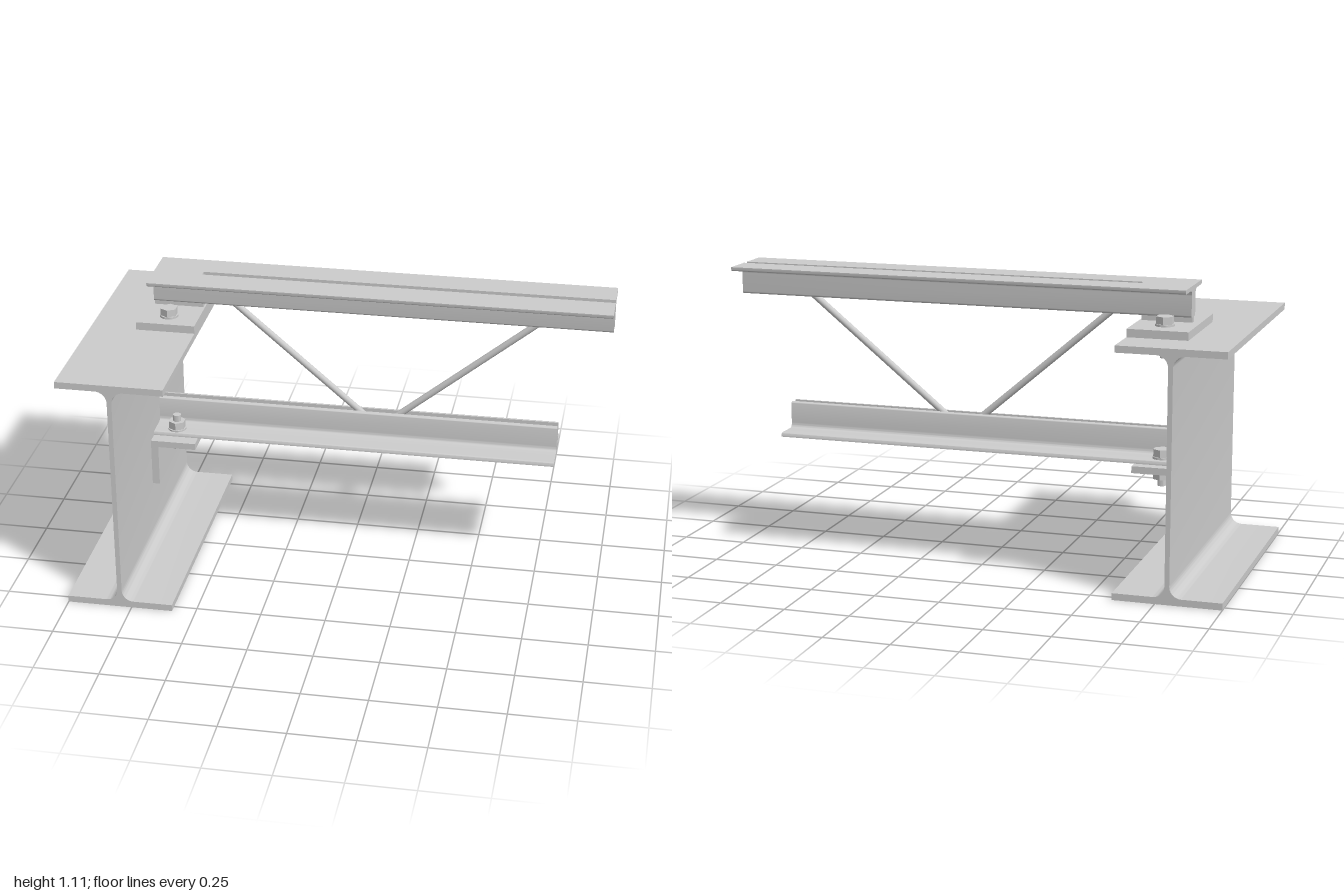
import * as THREE from 'three';
import { toCreasedNormals } from 'three/addons/utils/BufferGeometryUtils.js';

const material = new THREE.MeshStandardMaterial({ color: 0xcccccc });
const JOIST_Z = -0.163; // centre plane of the joist
const GAP = 0.0135;     // half the gap between paired angles

function addMesh(parent, name, geometry) {
  const mesh = new THREE.Mesh(geometry, material);
  mesh.name = name;
  parent.add(mesh);
  return mesh;
}

function addBox(parent, name, x0, x1, y0, y1, z0, z1) {
  addMesh(parent, name, new THREE.BoxGeometry(x1 - x0, y1 - y0, z1 - z0))
    .position.set((x0 + x1) / 2, (y0 + y1) / 2, (z0 + z1) / 2);
}

function extrude(shape, depth) {
  const g = new THREE.ExtrudeGeometry(shape, { depth, bevelEnabled: false, curveSegments: 8 });
  return toCreasedNormals(g, 0.6);
}

// Wide-flange profile with filleted web, centred on x = 0
function beamShape() {
  const w = 0.205, h = 0.943, t = 0.026, web = 0.009, r = 0.045;
  const s = new THREE.Shape();
  s.moveTo(-w, 0);
  s.lineTo(w, 0);
  s.lineTo(w, t);
  s.lineTo(web + r, t);
  s.absarc(web + r, t + r, r, -Math.PI / 2, -Math.PI, true);
  s.lineTo(web, h - t - r);
  s.absarc(web + r, h - t - r, r, Math.PI, Math.PI / 2, true);
  s.lineTo(w, h - t);
  s.lineTo(w, h);
  s.lineTo(-w, h);
  s.lineTo(-w, h - t);
  s.lineTo(-web - r, h - t);
  s.absarc(-web - r, h - t - r, r, Math.PI / 2, 0, true);
  s.lineTo(-web, t + r);
  s.absarc(-web - r, t + r, r, 0, -Math.PI / 2, true);
  s.lineTo(-w, t);
  s.closePath();
  return s;
}

// Rolled angle: side picks the flange direction in z, dir = 1 puts the flange on top
function angleShape(side, dir, y) {
  const L = 0.118, t = 0.016, r = 0.02, toe = 0.01;
  const p = (a, b) => [-(JOIST_Z + side * (GAP + a)), y - dir * b];
  const s = new THREE.Shape();
  s.moveTo(...p(0, 0));
  s.lineTo(...p(L, 0));
  s.lineTo(...p(L, t - toe));
  s.quadraticCurveTo(...p(L, t), ...p(L - toe, t));
  s.lineTo(...p(t + r, t));
  s.quadraticCurveTo(...p(t, t), ...p(t, t + r));
  s.lineTo(...p(t, L - toe));
  s.quadraticCurveTo(...p(t, L), ...p(t - toe, L));
  s.lineTo(...p(0, L));
  s.closePath();
  return s;
}

// Pair of back-to-back angles running along x
function chord(name, x0, x1, y, dir) {
  const group = new THREE.Group();
  group.name = name;
  for (const side of [1, -1]) {
    const g = extrude(angleShape(side, dir, y), x1 - x0);
    g.rotateY(Math.PI / 2);
    g.translate(x0, 0, 0);
    addMesh(group, side > 0 ? 'frontAngle' : 'backAngle', g);
  }
  return group;
}

function rod(parent, name, from, to) {
  const a = new THREE.Vector3(from[0], from[1], JOIST_Z);
  const b = new THREE.Vector3(to[0], to[1], JOIST_Z);
  const mesh = addMesh(parent, name, new THREE.CylinderGeometry(0.013, 0.013, a.distanceTo(b), 20));
  mesh.position.addVectors(a, b).multiplyScalar(0.5);
  mesh.quaternion.setFromUnitVectors(new THREE.Vector3(0, 1, 0), b.sub(a).normalize());
}

// Bolt clamping the layer between yTop and yBottom; flip puts the nut on top
function bolt(x, z, yTop, yBottom, flip) {
  const group = new THREE.Group();
  group.name = 'bolt';
  const half = (yTop - yBottom) / 2;
  const part = (name, radius, y0, y1, sides) => {
    const g = toCreasedNormals(new THREE.CylinderGeometry(radius, radius, y1 - y0, sides), 0.6);
    addMesh(group, name, g).position.y = (y0 + y1) / 2;
  };
  part('headWasher', 0.036, half, half + 0.008, 32);
  part('head', 0.034, half + 0.008, half + 0.036, 6);
  part('nutWasher', 0.036, -half - 0.006, -half, 32);
  part('nut', 0.034, -half - 0.036, -half - 0.006, 6);
  part('shank', 0.016, -half - 0.062, half + 0.01, 24);
  group.position.set(x, (yTop + yBottom) / 2, z);
  if (flip) group.rotation.x = Math.PI;
  return group;
}

export function createModel() {
  const model = new THREE.Group();
  model.name = 'joistToBeamConnection';

  // Supporting beam
  const beam = addMesh(model, 'supportBeam', extrude(beamShape(), 1.066));
  beam.position.set(-0.795, 0, -0.533);

  // Joist: two chords, filler at the bearing end, diagonal rods
  const joist = new THREE.Group();
  joist.name = 'joist';
  model.add(joist);
  joist.add(chord('topChord', -0.79, 1, 1.112, 1));
  joist.add(chord('bottomChord', -0.786, 0.805, 0.456, -1));
  addBox(joist, 'bearingFiller', -0.79, -0.597, 0.974, 1.112, JOIST_Z - GAP, JOIST_Z + GAP);
  rod(joist, 'webRod', [-0.5, 1.018], [0.063, 0.533]);
  rod(joist, 'webRod', [0.13, 0.526], [0.763, 1.04]);

  // Seat plate on the beam and angle bracket on its web
  addBox(model, 'seatPlate', -0.82, -0.59, 0.943, 0.974, -0.368, 0.034);
  const b = new THREE.Shape([
    [0, 0.265], [0.029, 0.265], [0.029, 0.43], [0.179, 0.43], [0.179, 0.456], [0, 0.456],
  ].map(([x, y]) => new THREE.Vector2(x, y)));
  addMesh(model, 'angleBracket', extrude(b, 0.356)).position.set(-0.786, 0, -0.336);

  // Bolts through the seat and through the bracket
  for (const z of [-0.047, -0.265]) model.add(bolt(-0.708, z, 0.974, 0.917, false));
  model.add(bolt(-0.7, -0.073, 0.472, 0.43, true));
  model.add(bolt(-0.7, -0.243, 0.472, 0.43, false));
  return model;
}
